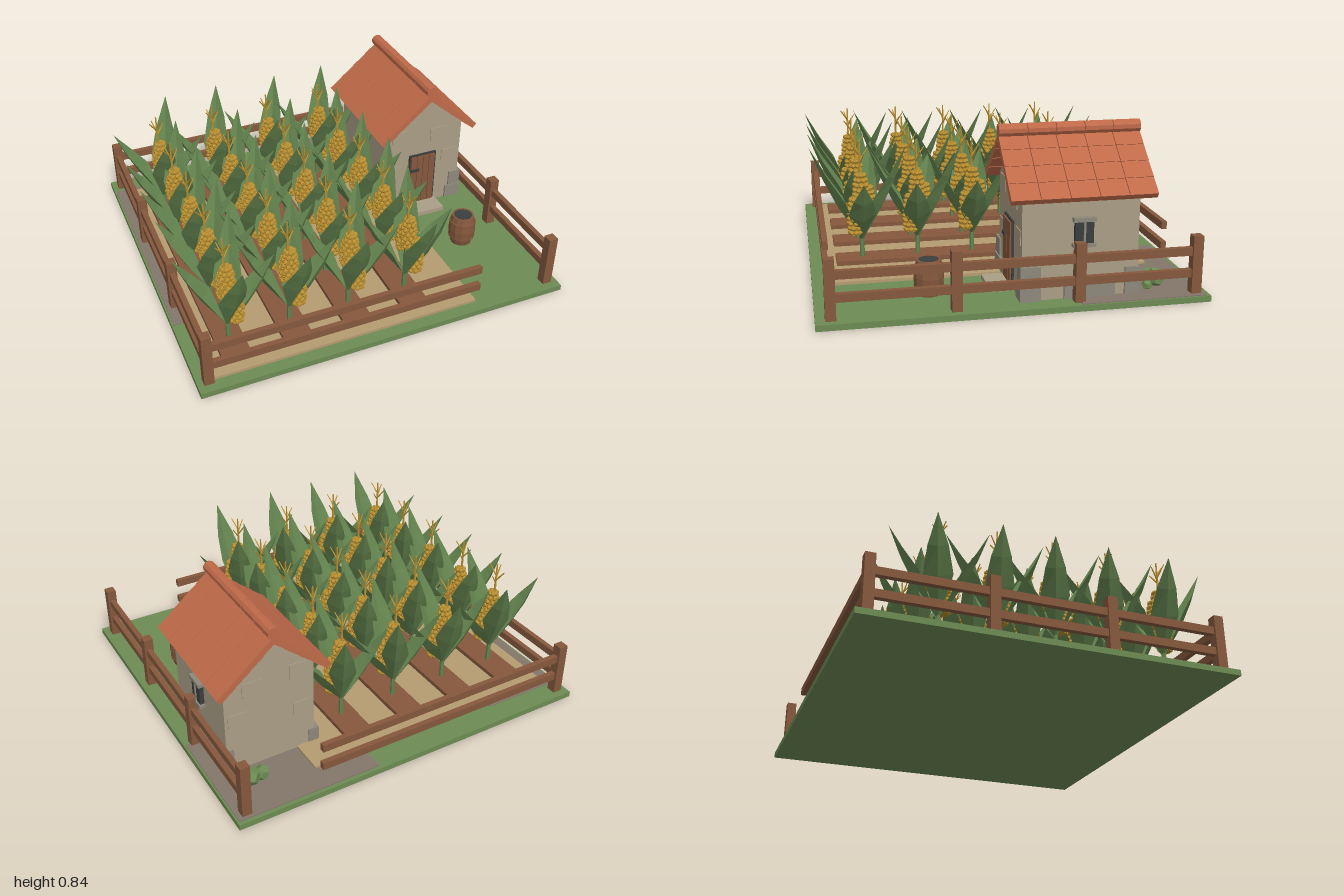
import * as THREE from 'three';
import { mergeGeometries } from 'three/addons/utils/BufferGeometryUtils.js';

const mat = (name, color, extra = {}) => {
  const m = new THREE.MeshStandardMaterial({ color, flatShading: true, ...extra });
  m.name = name;
  return m;
};

export function createModel() {
  const grass = mat('grass green', 0x6d8b53);
  const soil = mat('dry soil', 0xb59c71);
  const wood = mat('brown wood', 0x85583d);
  const path = mat('grey earth', 0x83756a);
  const plaster = mat('plaster', 0xaa9e85);
  const stone = mat('stone', 0x8e887b);
  const tile = mat('terracotta', 0xc06a49);
  const leafGreen = mat('leaf green', 0x64844f, { side: THREE.DoubleSide });
  const gold = mat('corn gold', 0xb98f30);
  const dark = mat('dark iron', 0x3b3e3f);

  const model = new THREE.Group();
  const group = (name, parent = model) => {
    const g = new THREE.Group();
    g.name = name;
    parent.add(g);
    return g;
  };
  const mesh = (parent, name, geo, m, x = 0, y = 0, z = 0) => {
    const o = new THREE.Mesh(geo, m);
    o.name = name;
    o.position.set(x, y, z);
    parent.add(o);
    return o;
  };
  // box given by its minimum and maximum corners
  const box = (parent, name, m, x0, x1, y0, y1, z0, z1) =>
    mesh(parent, name, new THREE.BoxGeometry(x1 - x0, y1 - y0, z1 - z0), m,
      (x0 + x1) / 2, (y0 + y1) / 2, (z0 + z1) / 2);

  // ground
  const ground = group('ground');
  box(ground, 'grassBase', grass, -0.985, 1, 0, 0.03, -0.935, 0.935);
  box(ground, 'fieldSoil', soil, -0.91, 0.515, 0.03, 0.045, -0.78, 0.87);
  box(ground, 'yardPatch', path, 0.23, 0.99, 0.03, 0.034, -0.915, -0.3);
  box(ground, 'sidePatch', path, -0.975, -0.53, 0.03, 0.034, -0.82, 0.44);
  for (let i = 0; i < 4; i++) {
    const x = -0.757 + 0.32 * i;
    box(ground, 'furrow', wood, x - 0.073, x + 0.073, 0.045, 0.068, -0.66, 0.8);
  }

  // fence
  const fence = group('fence');
  for (const x of [-0.928, 0.94]) {
    for (const z of [-0.872, -0.295, 0.29, 0.865])
      box(fence, 'fencePost', wood, x - 0.025, x + 0.025, 0.03, 0.32, z - 0.025, z + 0.025);
    for (const y of [0.133, 0.242])
      box(fence, 'sideRail', wood, x - 0.014, x + 0.014, y - 0.02, y + 0.02, -0.88, 0.87);
  }
  for (const z of [-0.872, 0.865])
    for (const y of [0.133, 0.242])
      box(fence, 'rail', wood, -0.94, 0.53, y - 0.02, y + 0.02, z - 0.014, z + 0.014);

  // one folded leaf: tip at (dx, tipY, dz), built from cross-sections
  const leafGeometry = (dx, dz, tipY) => {
    const r = Math.hypot(dx, dz), ux = dx / r, uz = dz / r;
    const rows = [[0.02, 0, 0.008, 0], [0.42, 0.4, 0.07, 0.035], [0.72, 0.68, 0.048, 0.02], [1, 1, 0.001, 0]];
    const pos = [], index = [];
    rows.forEach(([t, h, w, fold], i) => {
      for (const s of [-1, 0, 1]) {
        const rad = r * t + (s ? -fold * 0.6 : fold * 0.4);
        const y = 0.16 + (tipY - 0.16) * h + (s ? fold * 0.5 : -fold * 0.4);
        pos.push(ux * rad - uz * s * w, y, uz * rad + ux * s * w);
      }
      if (i) for (let k = 0; k < 2; k++) {
        const a = (i - 1) * 3 + k;
        index.push(a, a + 1, a + 3, a + 1, a + 4, a + 3);
      }
    });
    const g = new THREE.BufferGeometry();
    g.setAttribute('position', new THREE.Float32BufferAttribute(pos, 3));
    g.setIndex(index);
    g.computeVertexNormals();
    return g;
  };
  const leaves = mergeGeometries([
    leafGeometry(-0.225, -0.08, 0.57), leafGeometry(0.115, -0.22, 0.67),
    leafGeometry(0.25, 0.01, 0.51), leafGeometry(0.0, 0.255, 0.66)]);

  // cob: core with rings of kernels
  const cobGeometry = (cx, cz, y0, y1, r) => {
    const core = new THREE.CylinderGeometry(r * 0.5, r * 0.9, y1 - y0, 8);
    core.translate(cx, (y0 + y1) / 2, cz);
    const parts = [core.toNonIndexed()];
    const rings = Math.round((y1 - y0) / 0.026);
    for (let i = 0; i < rings; i++) {
      const t = (i + 0.5) / rings, rr = r * (0.75 + 0.35 * Math.sin(Math.PI * t) - 0.25 * t);
      for (let k = 0; k < 7; k++) {
        const a = (k + (i % 2) / 2) * Math.PI * 2 / 7;
        parts.push(new THREE.IcosahedronGeometry(0.014, 0)
          .translate(cx + rr * Math.cos(a), y0 + t * (y1 - y0), cz + rr * Math.sin(a)));
      }
    }
    return mergeGeometries(parts);
  };
  const cobs = mergeGeometries([cobGeometry(0.035, 0.035, 0.2, 0.4, 0.034), cobGeometry(0.01, 0, 0.34, 0.52, 0.034),
    cobGeometry(0, -0.04, 0.3, 0.45, 0.026)]);

  // tassel: spike with short raised branches
  const tasselParts = [new THREE.CylinderGeometry(0.004, 0.007, 0.18, 5).translate(0, 0.59, 0)];
  for (let k = 0; k < 4; k++)
    tasselParts.push(new THREE.CylinderGeometry(0.003, 0.005, 0.075, 4).translate(0, 0.037, 0)
      .rotateZ(-0.65).rotateY(k * Math.PI / 2 + 0.4).translate(0, 0.565 + 0.015 * k, 0));
  const tassel = mergeGeometries(tasselParts);
  const stalk = new THREE.CylinderGeometry(0.009, 0.013, 0.46, 6);

  // corn field
  const field = group('cornField');
  for (let i = 0; i < 4; i++) for (let j = 0; j < 5; j++) {
    const plant = group('cornPlant', field);
    plant.position.set(-0.757 + 0.32 * i, 0, -0.503 + 0.2915 * j);
    plant.rotation.y = 0.09 * Math.sin(i * 2.1 + j * 1.7);
    mesh(plant, 'stalk', stalk, leafGreen, 0, 0.29, 0);
    mesh(plant, 'leaves', leaves, leafGreen);
    mesh(plant, 'cobs', cobs, gold);
    mesh(plant, 'tassel', tassel, gold);
  }

  // house walls with gables
  const house = group('house');
  const cx = 0.657;
  const gable = new THREE.Shape([[-0.24, 0.03], [0.24, 0.03], [0.24, 0.54], [0, 0.745], [-0.24, 0.54]]
    .map(([x, y]) => new THREE.Vector2(x, y)));
  mesh(house, 'walls', new THREE.ExtrudeGeometry(gable, { depth: 0.57, bevelEnabled: false }), plaster, cx, 0, -0.595);

  // roof: rows of tiles on both slopes and a round ridge
  const roof = group('roof', house);
  for (const s of [-1, 1]) {
    const slope = group('roofSlope', roof);
    slope.position.set(cx, 0.79, 0);
    slope.rotation.z = -s * 0.7;
    for (let c = 0; c < 5; c++) for (let r = 0; r < 4; r++) {
      const t = mesh(slope, 'roofTile', new THREE.BoxGeometry(0.1, 0.032, 0.138), tile,
        s * (0.048 + r * 0.0975), -0.016, -0.594 + c * 0.141);
      t.rotation.z = s * 0.03;
    }
  }
  for (let c = 0; c < 5; c++)
    mesh(roof, 'ridgeTile', new THREE.CylinderGeometry(0.032, 0.032, 0.138, 10).rotateX(Math.PI / 2), tile,
      cx, 0.805, -0.594 + c * 0.141);

  // corner and footing stones
  const stones = group('stones', house);
  box(stones, 'cornerStone', stone, 0.37, 0.46, 0.11, 0.2, -0.11, -0.015);
  box(stones, 'cornerStone', stone, 0.37, 0.545, 0.03, 0.108, -0.12, -0.01);
  box(stones, 'cornerStone', stone, 0.84, 0.912, 0.11, 0.2, -0.115, -0.017);
  box(stones, 'cornerStone', stone, 0.82, 0.915, 0.03, 0.108, -0.115, -0.015);
  box(stones, 'cornerStone', stone, 0.39, 0.45, 0.03, 0.12, -0.6, -0.5);
  box(stones, 'footing', stone, 0.88, 0.912, 0.03, 0.115, -0.48, -0.23);
  box(stones, 'footing', stone, 0.86, 0.908, 0.03, 0.17, -0.603, -0.53);
  box(stones, 'doorStep', plaster, 0.56, 0.75, 0.03, 0.055, -0.02, 0.1);

  // raised plaster patches, thin
  for (const [x0, x1, y0, y1] of [[0.46, 0.55, 0.47, 0.55], [0.7, 0.8, 0.45, 0.53], [0.78, 0.88, 0.3, 0.37], [0.44, 0.53, 0.25, 0.32]])
    for (const z of [-0.025, -0.595])
      box(house, 'wallPatch', plaster, x0, x1, y0, y1, z - 0.004, z + 0.004);

  // door
  const door = group('door', house);
  box(door, 'doorFrame', dark, 0.57, 0.74, 0.035, 0.378, -0.03, -0.015);
  for (let i = 0; i < 4; i++)
    box(door, 'doorPlank', wood, 0.58 + i * 0.038, 0.615 + i * 0.038, 0.045, 0.368, -0.02, -0.006);
  for (const y of [0.11, 0.28]) box(door, 'hinge', dark, 0.58, 0.63, y - 0.009, y + 0.009, -0.01, -0.001);

  // side window
  const win = group('window', house);
  box(win, 'windowPane', dark, 0.89, 0.92, 0.305, 0.415, -0.365, -0.275);
  box(win, 'windowMullion', stone, 0.91, 0.926, 0.305, 0.415, -0.325, -0.315);
  box(win, 'windowLintel', stone, 0.89, 0.928, 0.412, 0.432, -0.375, -0.265);
  box(win, 'windowSill', stone, 0.89, 0.928, 0.288, 0.306, -0.375, -0.265);

  // barrel
  const barrel = group('barrel');
  barrel.position.set(0.705, 0.03, 0.385);
  const profile = [[0, 0], [0.058, 0], [0.071, 0.05], [0.074, 0.09], [0.071, 0.13], [0.06, 0.175], [0.05, 0.175], [0.05, 0.165], [0, 0.165]];
  mesh(barrel, 'barrelBody', new THREE.LatheGeometry(profile.map(p => new THREE.Vector2(...p)), 12), wood);
  mesh(barrel, 'barrelLid', new THREE.CylinderGeometry(0.052, 0.052, 0.006, 12), dark, 0, 0.17, 0);
  for (const y of [0.045, 0.135])
    mesh(barrel, 'barrelHoop', new THREE.CylinderGeometry(0.073, 0.073, 0.012, 12, 1), wood, 0, y, 0);

  // shrubs behind the house
  const shrubs = group('shrubs');
  for (const [x, y, z, s] of [[0.77, 0.07, -0.705, 0.065], [0.83, 0.08, -0.715, 0.078], [0.85, 0.05, -0.665, 0.045]]) {
    const b = mesh(shrubs, 'shrub', new THREE.DodecahedronGeometry(s * 0.62, 0), grass, x, y, z);
    b.rotation.y = x * 9;
  }
  return model;
}
